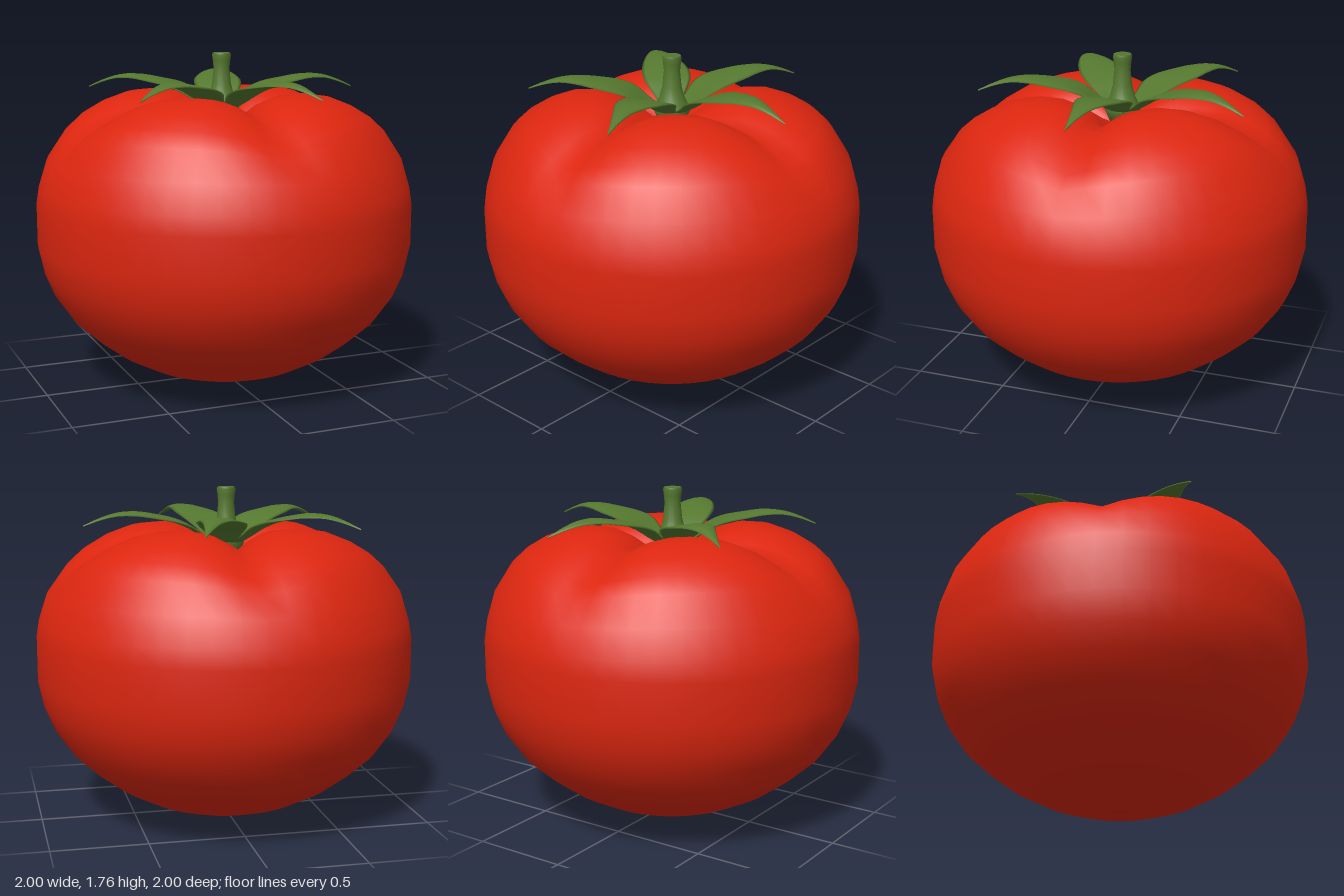
import * as THREE from 'three';
import { mergeVertices } from 'three/addons/utils/BufferGeometryUtils.js';

const red = new THREE.MeshStandardMaterial({ color: 0xdc260f });
red.name = 'ripe red';
const green = new THREE.MeshStandardMaterial({ color: 0x55782f });
green.name = 'leaf green';

const toVectors = (pairs) => pairs.map(([x, y]) => new THREE.Vector2(x, y));

// Weld seams so the shading is smooth all the way round
function smooth(geometry) {
  geometry.deleteAttribute('uv');
  geometry.deleteAttribute('normal');
  const welded = mergeVertices(geometry, 1e-4);
  welded.computeVertexNormals();
  return welded;
}

// Squat fruit: a turned profile with four creases running down from the top
function fruitGeometry() {
  const profile = toVectors([
    [0, 0], [0.11, 0.005], [0.28, 0.04], [0.45, 0.1], [0.6, 0.18], [0.72, 0.27],
    [0.83, 0.37], [0.92, 0.5], [0.97, 0.62], [1, 0.76], [1, 0.98], [0.985, 1.07],
    [0.94, 1.22], [0.845, 1.37], [0.77, 1.44], [0.67, 1.5], [0.55, 1.545], [0.42, 1.56],
    [0.3, 1.545], [0.2, 1.5], [0.1, 1.43], [0, 1.38],
  ]);
  const geometry = new THREE.LatheGeometry(profile, 48);
  const p = geometry.attributes.position;
  for (let i = 0; i < p.count; i++) {
    const x = p.getX(i), y = p.getY(i), z = p.getZ(i);
    const crease = Math.pow(1 - Math.abs(Math.sin(2 * Math.atan2(z, x))), 1.5);
    const reach = THREE.MathUtils.smoothstep(y, 1.1, 1.52) * Math.min(Math.hypot(x, z) / 0.2, 1);
    p.setY(i, y - 0.1 * crease * reach);
  }
  return smooth(geometry);
}

// Leaf along +x: lens-shaped sections swept along an arching midrib
function leafGeometry(bend) {
  // distance, height, half width
  const stations = new THREE.CatmullRomCurve3([
    [0.03, 1.45, 0.05], [0.12, 1.5, 0.08], [0.2, 1.555, 0.122], [0.28, 1.59, 0.13],
    [0.38, 1.615, 0.115], [0.48, 1.632, 0.085], [0.58, 1.628, 0.048],
    [0.67, 1.602, 0.022], [0.755, 1.565, 0.002],
  ].map((s) => new THREE.Vector3(...s)));
  const rows = 20, around = 12, positions = [], index = [];
  for (let i = 0; i <= rows; i++) {
    const s = stations.getPoint(i / rows);
    const half = Math.max(s.z, 0.002);
    const thick = 0.004 + 0.06 * half;
    const shift = bend * Math.sin(Math.PI * s.x / 0.75);
    for (let j = 0; j < around; j++) {
      const a = (j / around) * Math.PI * 2, c = Math.cos(a);
      // edges lift near the stem and droop further out
      const curl = (0.3 - s.x) * 0.1 * c * c * (half / 0.13);
      positions.push(s.x, s.y + thick * Math.sin(a) + curl, shift + half * c);
      if (i < rows) {
        const j2 = (j + 1) % around, n = i * around, m = n + around;
        index.push(n + j, m + j, n + j2, m + j, m + j2, n + j2);
      }
    }
  }
  const geometry = new THREE.BufferGeometry();
  geometry.setAttribute('position', new THREE.Float32BufferAttribute(positions, 3));
  geometry.setIndex(index);
  geometry.computeVertexNormals();
  return geometry;
}

export function createModel() {
  const model = new THREE.Group();
  model.name = 'tomato';
  const add = (name, geometry, material, parent = model) => {
    const mesh = new THREE.Mesh(geometry, material);
    mesh.name = name;
    parent.add(mesh);
    return mesh;
  };

  add('fruit', fruitGeometry(), red);

  // Star of five leaves and the stem
  const calyx = new THREE.Group();
  calyx.name = 'calyx';
  calyx.position.set(-0.01, 0, -0.01);
  model.add(calyx);
  [2, 71.5, 143, 218.5, 290].forEach((degrees, i) => {
    const leaf = add('leaf' + (i + 1), leafGeometry(i % 2 ? 0.015 : -0.015), green, calyx);
    leaf.rotation.y = -THREE.MathUtils.degToRad(degrees);
  });

  // Stem flares at the foot and has a slightly swollen cut end
  const stem = toVectors([
    [0, 1.4], [0.07, 1.41], [0.095, 1.47], [0.085, 1.5], [0.065, 1.54], [0.05, 1.6],
    [0.042, 1.68], [0.046, 1.72], [0.05, 1.75], [0.046, 1.762],
  ]);
  add('stem', smooth(new THREE.LatheGeometry(stem, 20)), green, calyx);
  const cut = add('stemTop', new THREE.CircleGeometry(0.046, 20), green, calyx);
  cut.rotation.x = -Math.PI / 2;
  cut.position.y = 1.762;
  return model;
}
